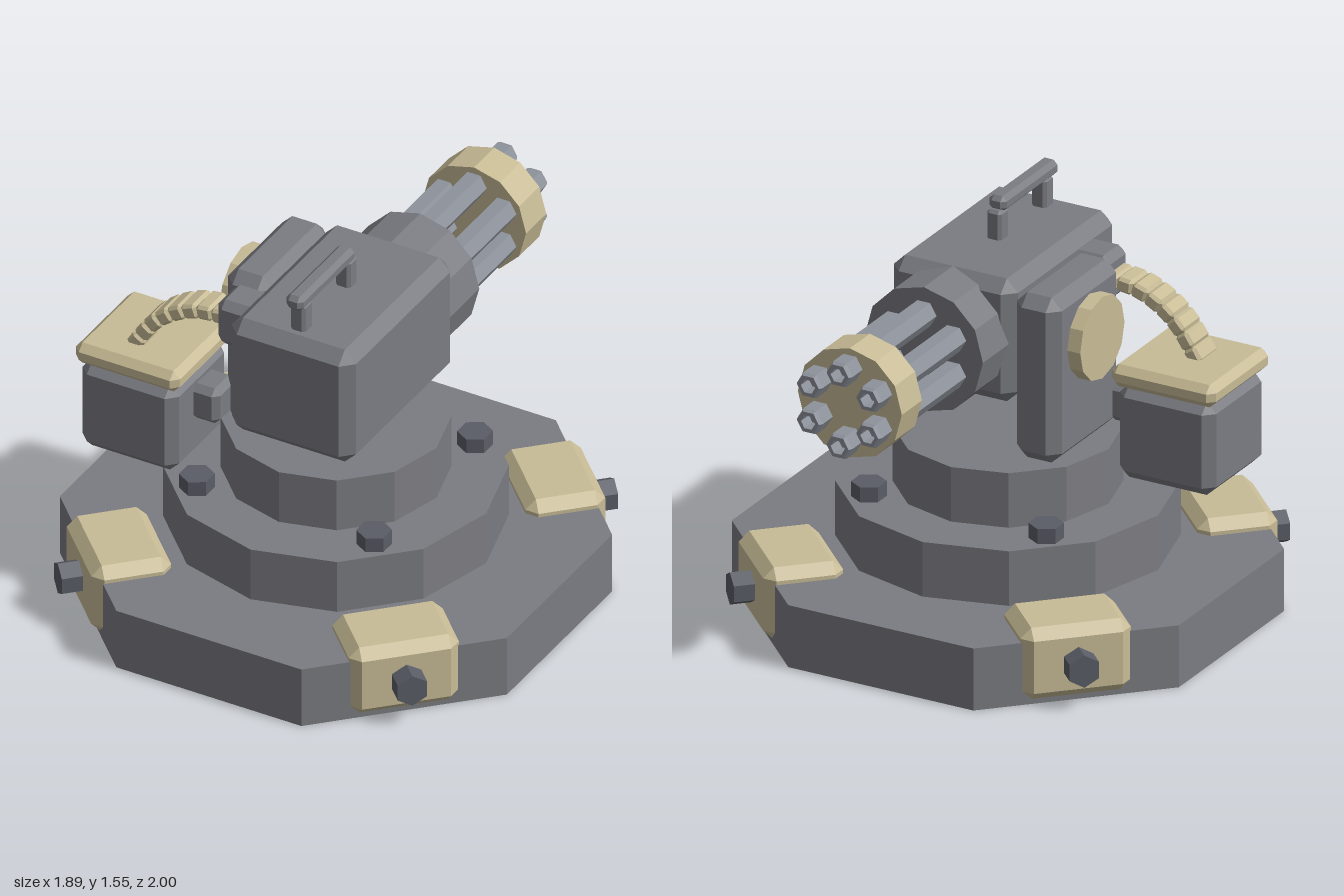
import * as THREE from 'three';
import { ConvexGeometry } from 'three/addons/geometries/ConvexGeometry.js';

const mat = (color) => new THREE.MeshStandardMaterial({ color, flatShading: true });
const V = (x, y, z) => new THREE.Vector3(x, y, z);

// Box with a single flat chamfer on every edge
function chamferBox(w, h, d, b) {
  const points = [];
  for (const sx of [-1, 1]) for (const sy of [-1, 1]) for (const sz of [-1, 1]) {
    const x = w / 2, y = h / 2, z = d / 2;
    points.push(
      V(sx * x, sy * (y - b), sz * (z - b)),
      V(sx * (x - b), sy * y, sz * (z - b)),
      V(sx * (x - b), sy * (y - b), sz * z));
  }
  return new ConvexGeometry(points);
}

export function createModel() {
  const model = new THREE.Group();
  model.name = 'gunTurret';
  const steel = mat(0x7b7c82), barrelSteel = mat(0x8d929b), tan = mat(0xc8bc96), dark = mat(0x5b5d66);

  const add = (name, geometry, material, x = 0, y = 0, z = 0, parent = model) => {
    const mesh = new THREE.Mesh(geometry, material);
    mesh.name = name;
    mesh.position.set(x, y, z);
    parent.add(mesh);
    return mesh;
  };
  // Chamfered box given by its extents on each axis
  const block = (name, [x0, x1], [y0, y1], [z0, z1], bevel, material = steel) =>
    add(name, chamferBox(x1 - x0, y1 - y0, z1 - z0, bevel), material,
      (x0 + x1) / 2, (y0 + y1) / 2, (z0 + z1) / 2);
  const disc = (r, h, sides) => new THREE.CylinderGeometry(r, r, h, sides);

  // Stepped base
  const cz = 0.055;
  add('basePlate', disc(1.023, 0.25, 8).rotateY(Math.PI / 8), steel, 0, 0.125, cz);
  add('middleRing', disc(0.635, 0.22, 12), steel, 0, 0.36, cz);
  add('turntable', disc(0.425, 0.22, 12), steel, 0, 0.58, cz);

  // Four corner clamps with side bolts, and four bolts on the middle ring
  for (const sx of [-1, 1]) for (const sz of [-1, 1]) {
    const clamp = new THREE.Group();
    clamp.name = 'cornerClamp';
    clamp.position.set(sx * 0.585, 0.16, cz + sz * 0.585);
    clamp.rotation.y = Math.atan2(sx, sz);
    model.add(clamp);
    add('clampBlock', chamferBox(0.42, 0.29, 0.305, 0.04), tan, 0, 0, 0, clamp);
    add('clampBolt', disc(0.065, 0.12, 6).rotateX(Math.PI / 2), dark, 0, 0, 0.173, clamp);
    add('ringBolt', disc(0.066, 0.08, 6), dark, sx * 0.375, 0.49, cz + sz * 0.375);
  }

  // Support arm with pivot cap
  block('supportArm', [-0.347, -0.155], [0.69, 1.355], [-0.197, 0.293], 0.045);
  add('pivotCap', disc(0.165, 0.08, 12).rotateZ(Math.PI / 2), tan, -0.362, 1.137, 0.05);

  // Gun body with carrying handle
  block('gunBody', [-0.155, 0.371], [0.89, 1.385], [-0.19, 0.605], 0.048);
  for (const z of [0.168, 0.502])
    block('handlePost', [0.077, 0.14], [1.36, 1.5], [z - 0.033, z + 0.033], 0.012);
  block('handleBar', [0.072, 0.145], [1.487, 1.549], [0.155, 0.567], 0.018);

  // Barrel cluster
  const gx = 0.12, gy = 1.135;
  add('barrelHousing', disc(0.25, 0.3, 12).rotateX(Math.PI / 2), steel, gx, gy, -0.21);
  add('barrelClamp', disc(0.22, 0.15, 12).rotateX(Math.PI / 2), tan, gx, gy, -0.835);
  const profile = [[0.054, 0], [0.054, 0.645], [0.046, 0.66], [0.03, 0.66], [0.03, 0.6], [0, 0.6]];
  const barrel = new THREE.LatheGeometry(profile.map(([r, y]) => new THREE.Vector2(r, y)), 6)
    .rotateY(Math.PI / 2).rotateX(-Math.PI / 2);
  for (let i = 0; i < 6; i++) {
    const a = Math.PI / 6 + i * Math.PI / 3;
    add('barrel', barrel, barrelSteel, gx + 0.145 * Math.cos(a), gy + 0.145 * Math.sin(a), -0.34);
  }

  // Ammunition box, lid, bracket and feed port
  block('ammoBox', [-0.828, -0.42], [0.55, 0.925], [0.108, 0.522], 0.04);
  block('ammoLid', [-0.843, -0.403], [0.92, 1.01], [0.093, 0.534], 0.028, tan);
  block('ammoBracket', [-0.46, -0.32], [0.717, 0.87], [0.22, 0.375], 0.025);
  block('feedPort', [-0.29, -0.12], [1.14, 1.335], [0.28, 0.45], 0.03);

  // Curved feed belt made of links
  const path = new THREE.CatmullRomCurve3([
    V(-0.66, 0.99, 0), V(-0.575, 1.115, 0), V(-0.5, 1.18, 0), V(-0.4, 1.228, 0), V(-0.26, 1.245, 0)]);
  const links = 8, length = path.getLength() / links;
  const link = chamferBox(length * 1.06, 0.06, 0.132, 0.012);
  for (let i = 0; i < links; i++) {
    const t = (i + 0.5) / links, p = path.getPointAt(t), d = path.getTangentAt(t);
    add('beltLink', link, tan, p.x, p.y, 0.356).rotation.z = Math.atan2(d.y, d.x);
  }
  return model;
}
